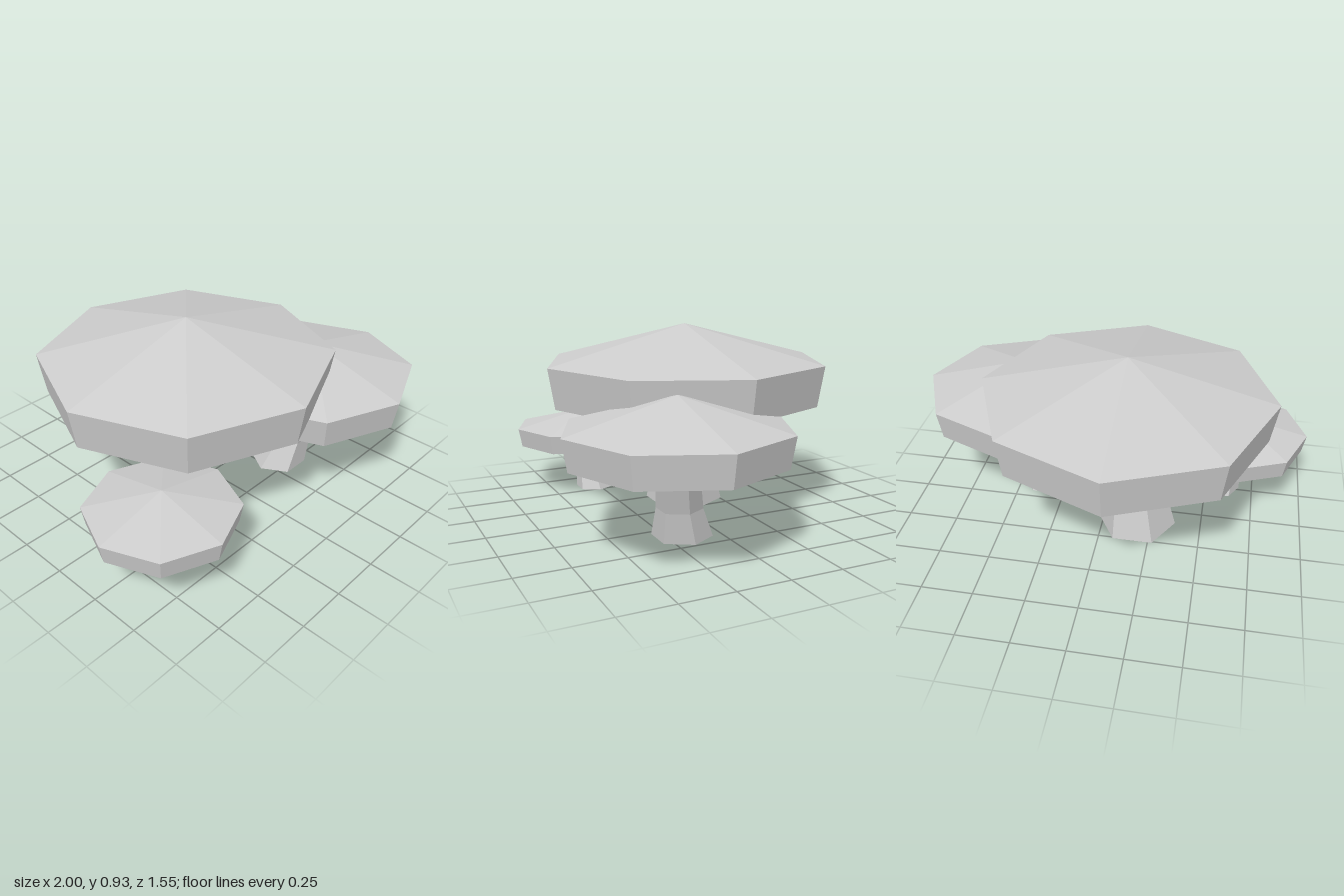
import * as THREE from 'three';

const TAU = Math.PI * 2;

// Point on a horizontal circle
const onCircle = (cx, cz, r, y, angle) => [cx + r * Math.cos(angle), y, cz + r * Math.sin(angle)];
const ring = (cx, cz, r, y, sides, turn = 0) =>
  Array.from({ length: sides }, (_, i) => onCircle(cx, cz, r, y, ((i + turn) / sides) * TAU));

// Collects triangles and turns them into a faceted mesh
function facetedMesh(name, material, triangles) {
  const geometry = new THREE.BufferGeometry();
  geometry.setAttribute('position', new THREE.Float32BufferAttribute(triangles.flat(2), 3));
  geometry.computeVertexNormals();
  const mesh = new THREE.Mesh(geometry, material);
  mesh.name = name;
  return mesh;
}

// Side wall between two rings
function wall(lower, upper) {
  const n = lower.length;
  return lower.flatMap((p, i) => {
    const j = (i + 1) % n;
    return [[p, upper[i], upper[j]], [p, upper[j], lower[j]]];
  });
}

// Eight-sided cap: low cone, slanted rim and folded gills underneath
function makeCap({ x, z, rimR, underR, apexY, rimY, underY }, material) {
  const n = 8;
  const rim = ring(x, z, rimR, rimY, n);
  const under = ring(x, z, underR, underY, n);
  const apex = [x, apexY, z];
  const depth = rimY - underY;
  const ridge = ring(x, z, underR * 0.2, underY + depth * 0.15, n);
  const fold = ring(x, z, underR * 0.22, underY + depth * 0.7, n, 0.5);
  const core = [x, underY + depth * 0.6, z];

  const top = wall(under, rim);
  const gills = [];
  for (let i = 0; i < n; i++) {
    const j = (i + 1) % n;
    top.push([rim[i], apex, rim[j]]);
    gills.push(
      [under[i], under[j], fold[i]],
      [under[i], fold[i], ridge[i]],
      [under[j], ridge[j], fold[i]],
      [ridge[i], fold[i], core],
      [fold[i], ridge[j], core],
    );
  }
  return [facetedMesh('cap', material, top), facetedMesh('gills', material, gills)];
}

// Six-sided bent stem; each section is [x, y, z, radius]
function makeStem(sections, material) {
  const rings = sections.map(([x, y, z, r]) => ring(x, z, r, y, 6));
  const triangles = [];
  for (let i = 0; i + 1 < rings.length; i++) triangles.push(...wall(rings[i], rings[i + 1]));
  const [x, y, z] = sections[0];
  rings[0].forEach((p, i) => triangles.push([p, rings[0][(i + 1) % 6], [x, y, z]]));
  return facetedMesh('stem', material, triangles);
}

const MUSHROOMS = [
  {
    name: 'largeMushroom',
    cap: { x: -0.107, z: -0.06, rimR: 0.713, underR: 0.68, apexY: 0.93, rimY: 0.745, underY: 0.545 },
    stem: [[-0.172, 0, -0.087, 0.198], [-0.155, 0.2, -0.075, 0.156], [-0.133, 0.4, -0.068, 0.143], [-0.113, 0.62, -0.062, 0.162]],
  },
  {
    name: 'mediumMushroom',
    cap: { x: 0.478, z: 0.255, rimR: 0.52, underR: 0.495, apexY: 0.685, rimY: 0.545, underY: 0.4 },
    stem: [[0.348, 0, 0.172, 0.143], [0.395, 0.15, 0.207, 0.108], [0.443, 0.3, 0.235, 0.1], [0.478, 0.45, 0.255, 0.118]],
  },
  {
    name: 'smallMushroom',
    cap: { x: -0.645, z: 0.315, rimR: 0.355, underR: 0.337, apexY: 0.43, rimY: 0.345, underY: 0.25 },
    stem: [[-0.58, 0, 0.27, 0.1], [-0.602, 0.09, 0.282, 0.079], [-0.622, 0.18, 0.305, 0.071], [-0.64, 0.285, 0.315, 0.081]],
  },
];

export function createModel() {
  const grey = new THREE.MeshStandardMaterial({ color: 0xcccccc });
  grey.name = 'light grey';

  const model = new THREE.Group();
  model.name = 'mushroomCluster';
  for (const { name, cap, stem } of MUSHROOMS) {
    const mushroom = new THREE.Group();
    mushroom.name = name;
    mushroom.add(...makeCap(cap, grey), makeStem(stem, grey));
    model.add(mushroom);
  }
  return model;
}
